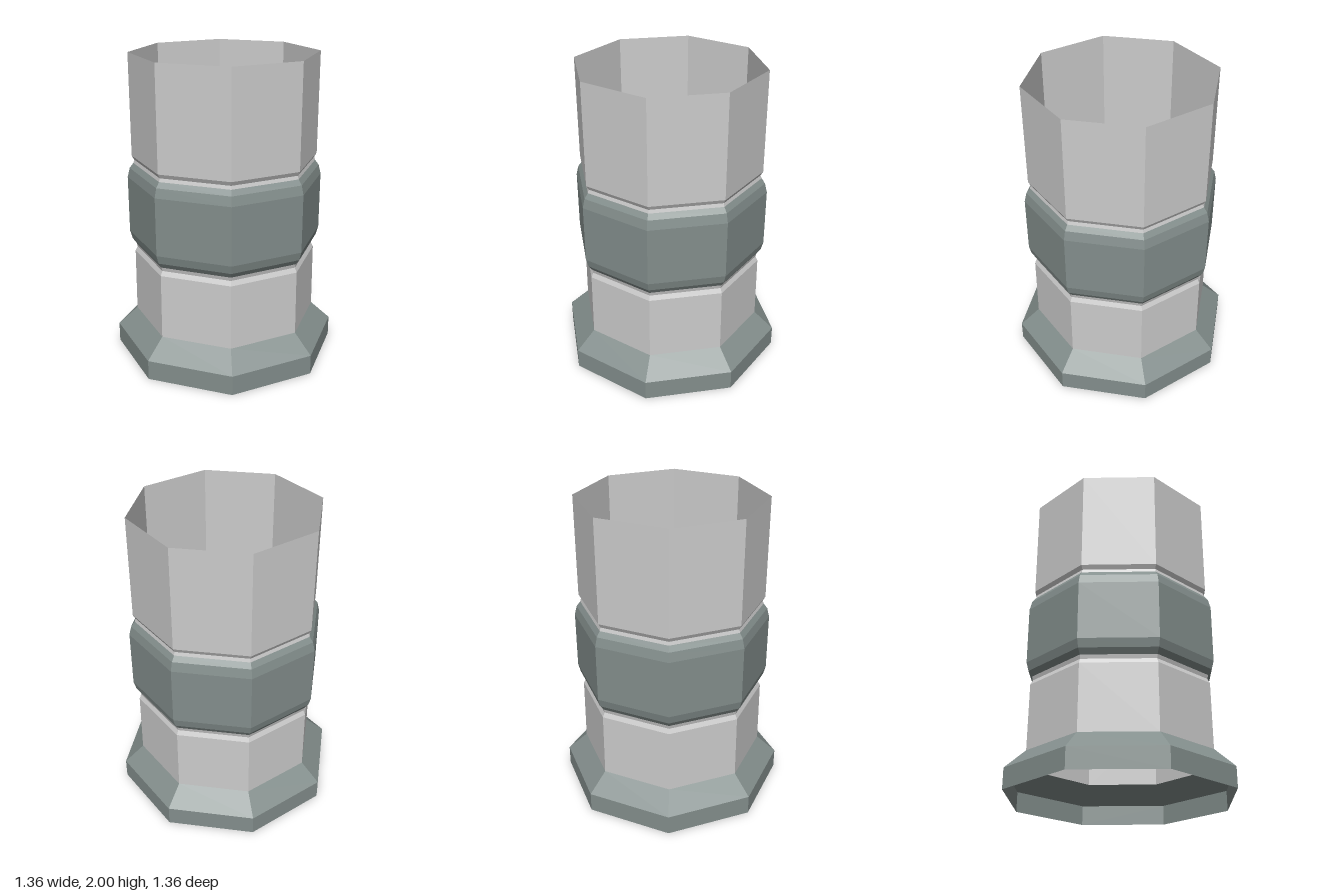
import * as THREE from 'three';

const SIDES = 8;

// Eight-sided open shell from [flat-to-centre distance, height] pairs, bottom to top
function shell(name, profile, color) {
  const points = profile.map(([a, y]) => new THREE.Vector2(a / Math.cos(Math.PI / SIDES), y));
  const geometry = new THREE.LatheGeometry(points, SIDES, Math.PI / SIDES);
  const material = new THREE.MeshStandardMaterial({ color, flatShading: true, side: THREE.DoubleSide });
  const mesh = new THREE.Mesh(geometry, material);
  mesh.name = name;
  return mesh;
}

export function createModel() {
  const group = new THREE.Group();
  group.name = 'octagonalPipe';
  const grey = 0xcccccc, slate = 0x838e8c;

  // Flared foot, open underneath
  group.add(shell('baseFlange', [[0.68, 0], [0.68, 0.13], [0.56, 0.25]], slate));

  // Lower pipe, pinched into a groove under the collar
  group.add(shell('lowerPipe', [[0.56, 0.25], [0.557, 0.675], [0.543, 0.705], [0.549, 0.73]], grey));

  // Bevelled collar
  group.add(shell('collar', [
    [0.549, 0.73], [0.572, 0.765], [0.586, 0.82],
    [0.586, 1.195], [0.572, 1.255], [0.549, 1.288],
  ], slate));

  // Upper pipe, with the matching groove above the collar
  group.add(shell('upperPipe', [[0.549, 1.288], [0.543, 1.31], [0.557, 1.337], [0.557, 2]], grey));

  return group;
}
